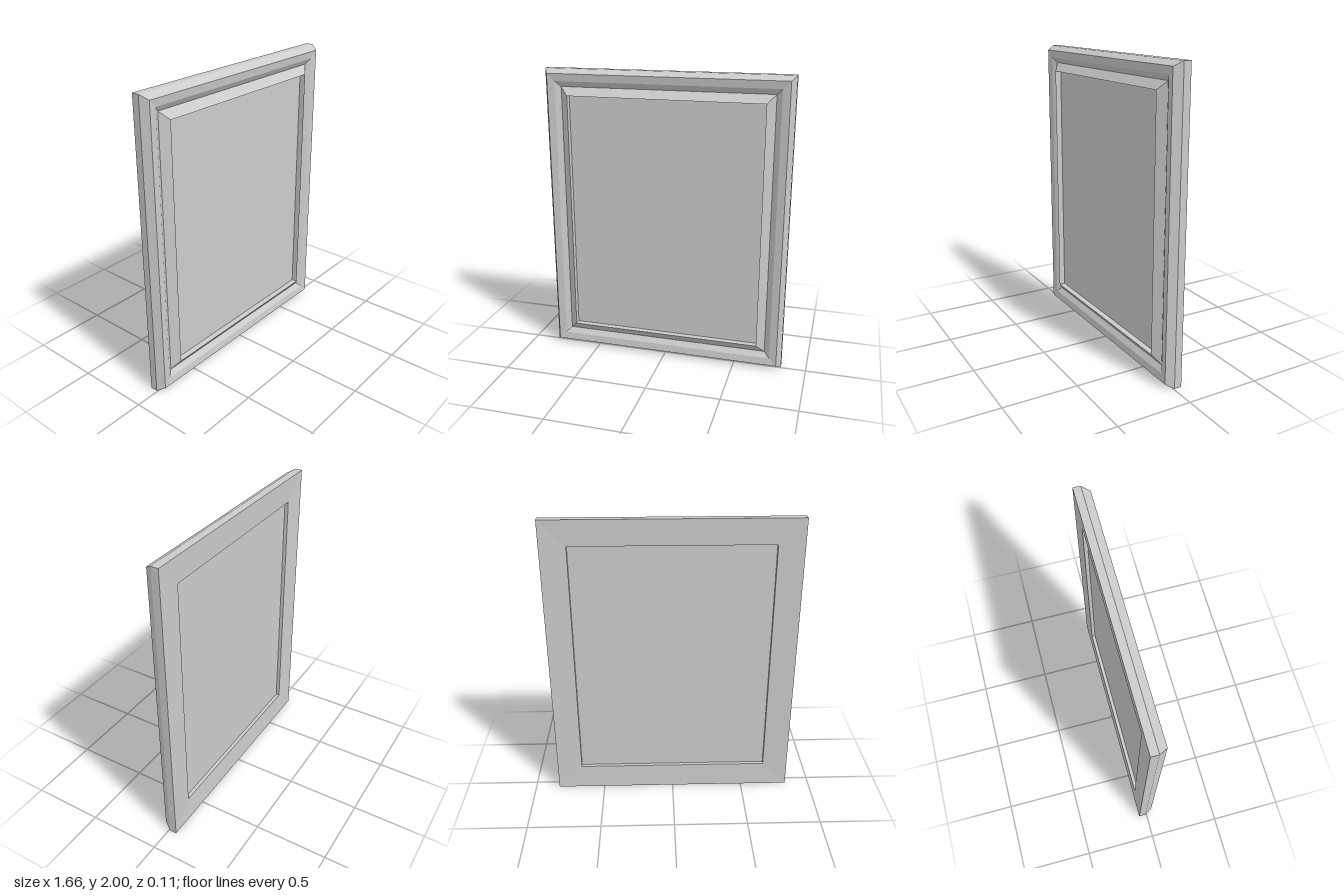
import * as THREE from 'three';

const HALF_W = 0.83, HALF_H = 1;
const material = new THREE.MeshStandardMaterial({ color: 0xcccccc, flatShading: true });

// Mitred rectangle loop, counter-clockwise seen from the front
function loop([inset, z]) {
  const x = HALF_W - inset, y = HALF_H - inset;
  return [[-x, -y, z], [x, -y, z], [x, y, z], [-x, y, z]];
}

// Sweeps a closed profile of [inset from outer edge, z] points around the rectangle
function mitredRing(profile) {
  const loops = profile.map(loop);
  const pos = [];
  loops.forEach((a, k) => {
    const b = loops[(k + 1) % loops.length];
    for (let i = 0; i < 4; i++) {
      const j = (i + 1) % 4;
      pos.push(...a[i], ...a[j], ...b[j], ...a[i], ...b[j], ...b[i]);
    }
  });
  const geometry = new THREE.BufferGeometry();
  geometry.setAttribute('position', new THREE.Float32BufferAttribute(pos, 3));
  geometry.computeVertexNormals();
  return geometry;
}

export function createModel() {
  const group = new THREE.Group();
  group.name = 'pictureFrame';

  // Moulding: outer bevel, gently sloped face, groove, raised inner rim, slanted back
  const moulding = new THREE.Mesh(mitredRing([
    [0, -0.057], [0, -0.007], [0.03, 0.045], [0.08, 0.038],
    [0.117, 0.014], [0.172, 0.057], [0.172, -0.05],
  ]), material);
  moulding.name = 'moulding';
  moulding.position.y = HALF_H;
  group.add(moulding);

  // Flat panel set back behind the rim on both sides
  const front = 0.015, back = -0.025;
  const panel = new THREE.Mesh(
    new THREE.BoxGeometry(2 * (HALF_W - 0.172), 2 * (HALF_H - 0.172), front - back), material);
  panel.name = 'panel';
  panel.position.set(0, HALF_H, (front + back) / 2);
  group.add(panel);

  return group;
}
